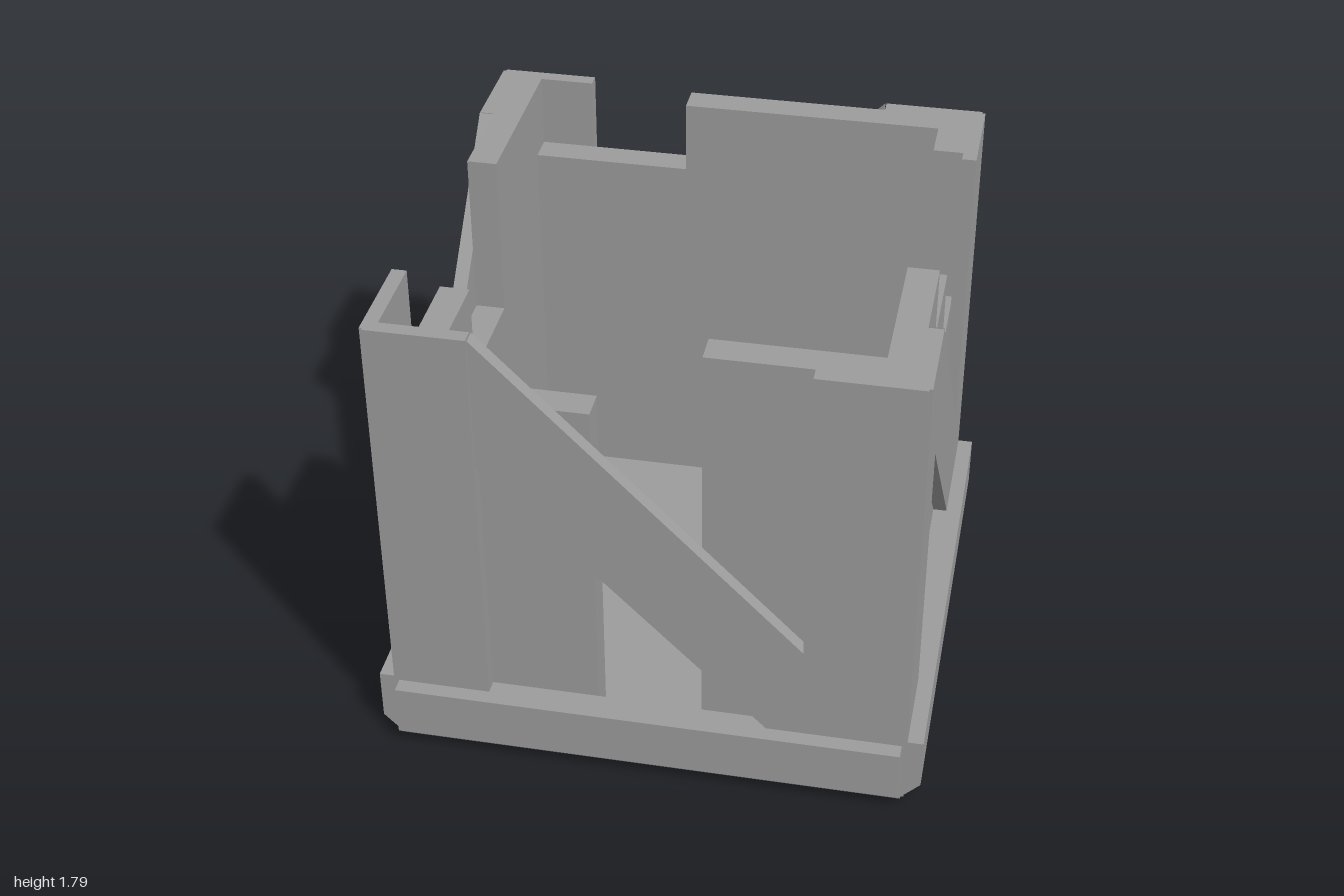
import * as THREE from 'three';

const H = 1.787;                          // full wall height
const OUT = 0.943, MID = 0.89, IN = 0.78; // board face, panel face, inner face
const END = 0.932;                        // boards stop short, leaving a fine corner seam

// Broken wall panels per side: [from, to, height] along the side
const sides = [
  { name: 'front', shift: 0, panels: [[-MID, -0.185, 1.51], [0.195, MID, H]] },
  { name: 'right', shift: 0, panels: [[-IN, -0.22, H], [-0.22, 0.2, 1.51], [0.2, 0.61, 1.16], [0.61, IN, H]] },
  { name: 'back', shift: 0.015, panels: [[-MID, 0.185, H], [0.185, IN, 1.51]] },
  { name: 'left', shift: 0, panels: [[-MID, -0.205, H], [-0.205, 0.22, 1.16], [0.22, IN, 1.51]] },
];

export function createModel() {
  const model = new THREE.Group();
  const mat = new THREE.MeshStandardMaterial({ color: 0x9c9c9c, flatShading: true });
  const darkMat = new THREE.MeshStandardMaterial({ color: 0x555555, flatShading: true });

  const add = (parent, name, geometry, material = mat) => {
    const mesh = new THREE.Mesh(geometry, material);
    mesh.name = name;
    parent.add(mesh);
    return mesh;
  };
  // Box given by its limits on each axis
  const box = (parent, name, x0, x1, y0, y1, z0, z1, material) =>
    add(parent, name, new THREE.BoxGeometry(x1 - x0, y1 - y0, z1 - z0), material)
      .position.set((x0 + x1) / 2, (y0 + y1) / 2, (z0 + z1) / 2);
  const extrude = (points, depth) => new THREE.ExtrudeGeometry(
    new THREE.Shape(points.map(([x, y]) => new THREE.Vector2(x, y))), { depth, bevelEnabled: false });
  const square = (r) => [[-r, -r], [r, -r], [r, r], [-r, r]].map(([x, y]) => new THREE.Vector2(x, y));

  sides.forEach(({ name, shift, panels }, i) => {
    const side = new THREE.Group();
    side.name = name + 'Side';
    side.rotation.y = i * Math.PI / 2;
    model.add(side);

    // Recessed panels, broken off at different heights
    for (const [a, b, h] of panels) box(side, 'wallPanel', a, b, 0.01, h, IN, MID);

    // Corner boards at both ends
    const a = -0.575 + shift, b = 0.563 + shift;
    box(side, 'cornerBoard', -END, a - 0.005, 0, H, MID, OUT);
    box(side, 'cornerBoard', b, END, 0, H, MID, OUT);

    // Diagonal brace
    const brace = add(side, 'diagonalBrace',
      extrude([[a, 1.275], [b, 0.13], [b, 0.63], [a, H]], OUT - MID));
    brace.position.z = MID;

    // Base trim with a chamfered lower edge, profile run along the side
    const trim = add(side, 'baseTrim',
      extrude([[-MID, 0], [-0.945, 0], [-1, 0.057], [-1, 0.256], [-MID, 0.256]], 1.845));
    trim.rotation.y = Math.PI / 2;
    trim.position.x = -0.92;
  });

  // Underside rim around the raised floor
  const rim = new THREE.Shape(square(0.93));
  rim.holes.push(new THREE.Path(square(0.75).reverse()));
  const rimMesh = add(model, 'bottomRim', new THREE.ExtrudeGeometry(rim, { depth: 0.04, bevelEnabled: false }));
  rimMesh.rotation.x = -Math.PI / 2;
  box(model, 'floor', -IN, IN, 0.04, 0.07, -IN, IN);

  // Dark sill in the front doorway
  box(model, 'doorSill', -0.185, 0.195, 0.04, 0.06, IN, MID - 0.01, darkMat);

  return model;
}
